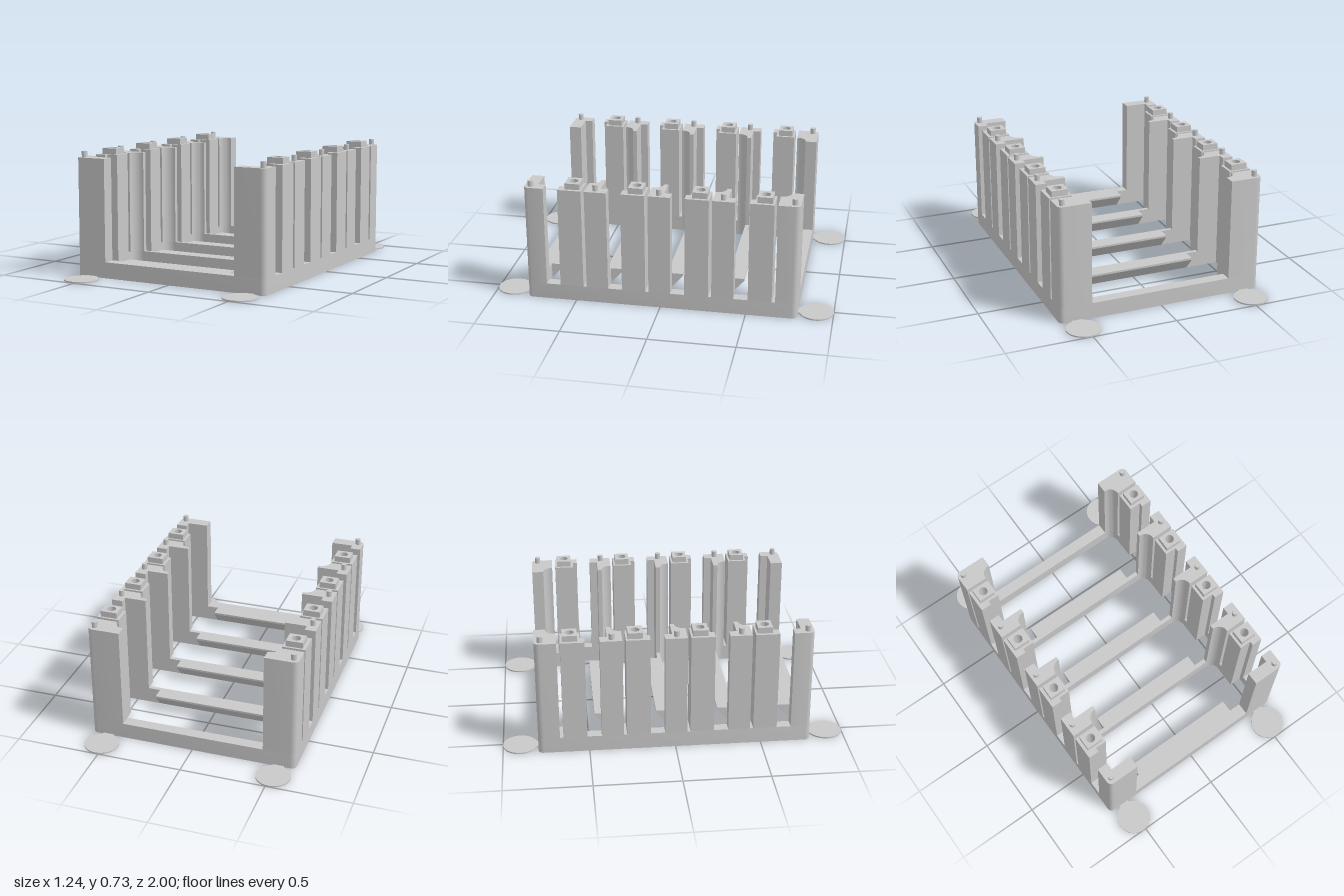
import * as THREE from 'three';
import { toCreasedNormals } from 'three/addons/utils/BufferGeometryUtils.js';

const BASE_H = 0.094, TOP = 0.695, PEG_TOP = 0.73;
const OUT = 0.617, WALL = 0.553, PAD = 0.484, WING = 0.424; // x of the plan steps
const BACK = -0.795, FRONT = 0.793;
const PERIOD = 0.368;
const bayStarts = [0, 1, 2, 3].map((i) => -0.727 + i * PERIOD);
const holeX = 0.549, holeR = 0.026;
const holeZ = bayStarts.map((z) => z + 0.133);

// points of an arc in plan, as [x, z]
function arc(cx, cz, r, a0, a1, n = 8) {
  const pts = [];
  for (let i = 0; i <= n; i++) {
    const a = a0 + ((a1 - a0) * i) / n;
    pts.push([cx + r * Math.cos(a), cz + r * Math.sin(a)]);
  }
  return pts;
}
const mirror = (pts) => pts.map(([x, z]) => [-x, z]);
const rect = (cx, cz, hx, hz) => [[cx - hx, cz - hz], [cx + hx, cz - hz], [cx + hx, cz + hz], [cx - hx, cz + hz]];
const circle = (cx, cz, r) => arc(cx, cz, r, 0, Math.PI * 2, 24).slice(0, -1);

// plan points as a loop turning the wanted way: outlines one way, holes the other
function loop(pts, isHole) {
  const v = pts.map(([x, z]) => new THREE.Vector2(x, -z));
  return THREE.ShapeUtils.isClockWise(v) === isHole ? v : v.reverse();
}

// vertical extrusion of a plan outline
function slab(outline, y0, y1, holes = []) {
  const shape = new THREE.Shape(loop(outline, false));
  for (const h of holes) shape.holes.push(new THREE.Path(loop(h, true)));
  const g = new THREE.ExtrudeGeometry(shape, { depth: y1 - y0, bevelEnabled: false });
  g.rotateX(-Math.PI / 2).translate(0, y0, 0);
  return toCreasedNormals(g, 0.6);
}

// concave fillet running from the wing tip to the inner pad
const fillet = (z0) => [[WING, z0], ...arc(PAD - 0.054, z0 + 0.054, 0.054, -Math.PI / 2, 0)];

export function createModel() {
  const model = new THREE.Group();
  const grey = new THREE.MeshStandardMaterial({ color: 0xc8c8c8 });
  grey.name = 'grey plastic';
  const add = (name, geometry) => {
    const m = new THREE.Mesh(geometry, grey);
    m.name = name;
    model.add(m);
    return m;
  };

  // base frame: rounded rectangle with four bays and through holes
  const r = 0.03;
  const backCorner = arc(OUT - r, BACK + r, r, -Math.PI / 2, 0);
  const frontCorner = arc(OUT - r, FRONT - r, r, 0, Math.PI / 2);
  const half = [...backCorner, ...frontCorner];
  const bays = bayStarts.map((z0) => {
    const side = [...fillet(z0), [PAD, z0 + 0.191], [WALL, z0 + 0.191], [WALL, z0 + 0.343]];
    return [...side, ...mirror(side).reverse()];
  });
  const bores = [];
  for (const z of holeZ) for (const s of [-1, 1]) bores.push(circle(s * holeX, z, holeR));
  add('baseFrame', slab([...half, ...mirror(half).reverse()], 0, BASE_H, [...bays, ...bores]));

  // sloped ledges behind each crossbar
  for (const z0 of bayStarts) {
    const z1 = z0 + 0.343;
    const profile = new THREE.Shape([
      new THREE.Vector2(z1, 0), new THREE.Vector2(z1, BASE_H),
      new THREE.Vector2(z1 - 0.073, BASE_H), new THREE.Vector2(z1 - 0.073, BASE_H - 0.012),
    ]);
    const g = new THREE.ExtrudeGeometry(profile, { depth: 0.704, bevelEnabled: false });
    g.rotateY(-Math.PI / 2).translate(0.352, 0, 0);
    add('ledge', g);
  }

  // plan outlines of the +x columns
  const b0 = bayStarts[0];
  const plain = [
    [[WING, BACK], ...backCorner, [OUT, b0 + 0.058], [PAD, b0 + 0.058], ...fillet(b0).reverse()],
    [[OUT, 0.676], ...frontCorner, [WING, FRONT], [WING, 0.72], [WALL, 0.72], [WALL, 0.676]],
    ...bayStarts.slice(1).map((z0) => [
      [OUT, z0 - 0.069], [OUT, z0 + 0.059], [PAD, z0 + 0.059], ...fillet(z0).reverse(),
      [WING, z0 - 0.025], [WALL, z0 - 0.025], [WALL, z0 - 0.069],
    ]),
  ];
  const roundPegZ = [-0.76, 0.757, ...bayStarts.slice(1)];

  for (const s of [1, -1]) {
    const put = (pts) => (s > 0 ? pts : mirror(pts));

    // corner and divider columns with round pegs
    plain.forEach((pts, i) => {
      add(i < 2 ? 'cornerColumn' : 'dividerColumn', slab(put(pts), BASE_H, TOP));
      const peg = new THREE.CylinderGeometry(0.016, 0.016, PEG_TOP - TOP, 20);
      add('roundPeg', peg).position.set(s * 0.583, (TOP + PEG_TOP) / 2, roundPegZ[i]);
    });

    // bored columns with square collars
    for (const p of holeZ) {
      const bore = circle(s * holeX, p, holeR);
      const pts = [[OUT, p - 0.055], [OUT, p + 0.083], [WALL, p + 0.083], [WALL, p + 0.058],
        [PAD, p + 0.058], [PAD, p - 0.055]];
      add('boredColumn', slab(put(pts), BASE_H, TOP, [bore]));
      add('squareCollar', slab(rect(s * holeX, p, 0.049, 0.043), TOP, PEG_TOP, [bore]));
    }

    // flat corner pads joined by short tabs
    for (const e of [1, -1]) {
      const disc = new THREE.CylinderGeometry(0.1, 0.1, 0.008, 48);
      add('cornerPad', disc).position.set(s * 0.518, 0.004, e * 0.9);
      const tab = new THREE.BoxGeometry(0.066, 0.007, 0.04);
      add('padTab', tab).position.set(s * 0.518, 0.0037, e * 0.803);
    }
  }
  return model;
}
